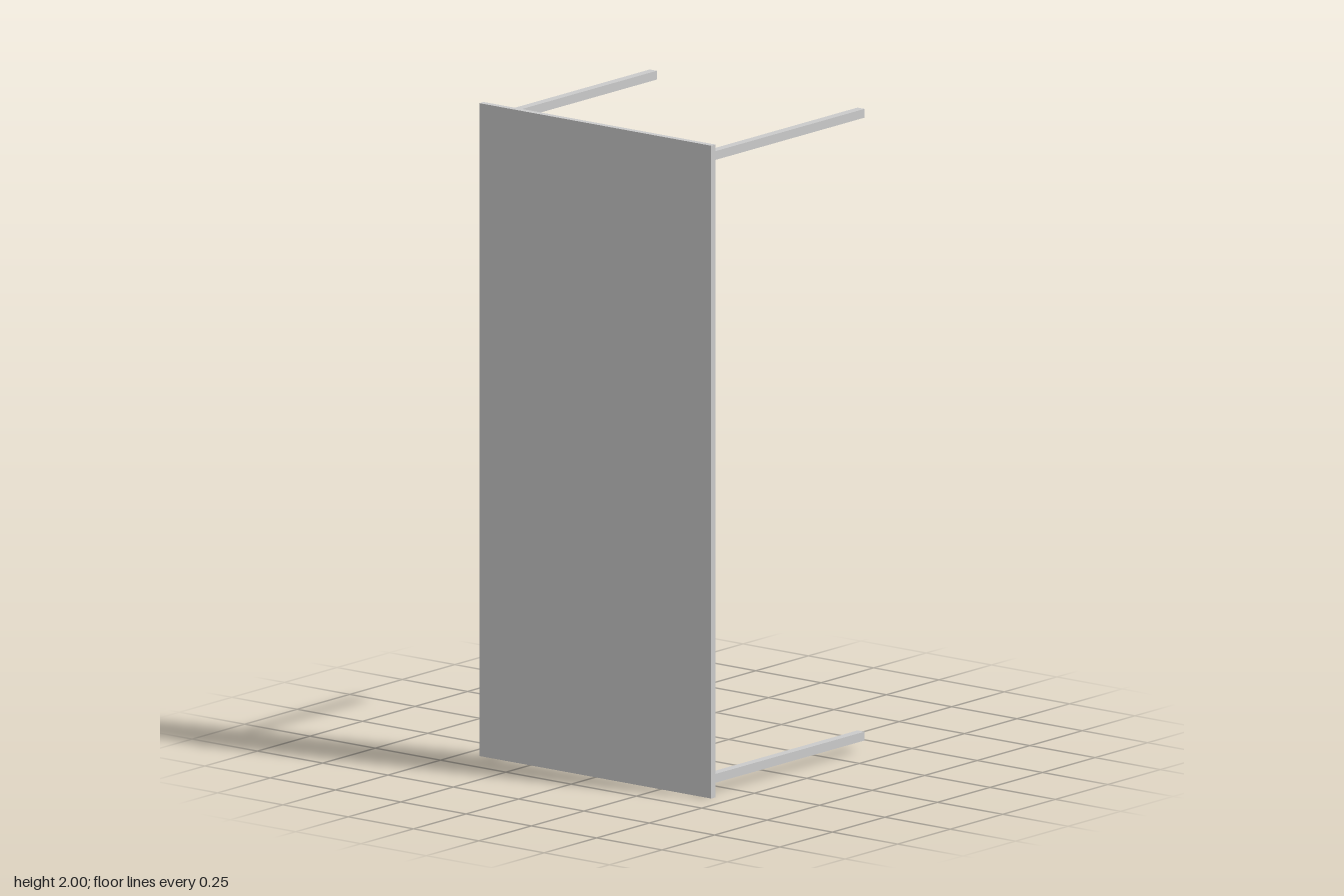
import * as THREE from 'three';

const WIDTH = 0.887, HEIGHT = 2, THICKNESS = 0.02, DEPTH = 0.77;
const LEG = 0.027;    // leg cross-section
const INSET = 0.0325; // gap from the panel edge to a leg

export function createModel() {
  const group = new THREE.Group();
  const material = new THREE.MeshStandardMaterial({ color: 0xcccccc });

  const addBox = (name, w, h, d, x, y, z) => {
    const mesh = new THREE.Mesh(new THREE.BoxGeometry(w, h, d), material);
    mesh.name = name;
    mesh.position.set(x, y, z);
    group.add(mesh);
  };

  // Table top, standing upright on its short edge
  addBox('tableTop', WIDTH, HEIGHT, THICKNESS, 0, HEIGHT / 2, (DEPTH - THICKNESS) / 2);

  // Four square legs reaching back from the corners
  const legLength = DEPTH - THICKNESS;
  const legX = WIDTH / 2 - INSET - LEG / 2;
  const legY = HEIGHT / 2 - INSET - LEG / 2;
  for (const [side, sx] of [['Left', 1], ['Right', -1]]) {
    for (const [level, sy] of [['upper', 1], ['lower', -1]]) {
      addBox(`${level}${side}Leg`, LEG, LEG, legLength,
        sx * legX, HEIGHT / 2 + sy * legY, -THICKNESS / 2);
    }
  }
  return group;
}
